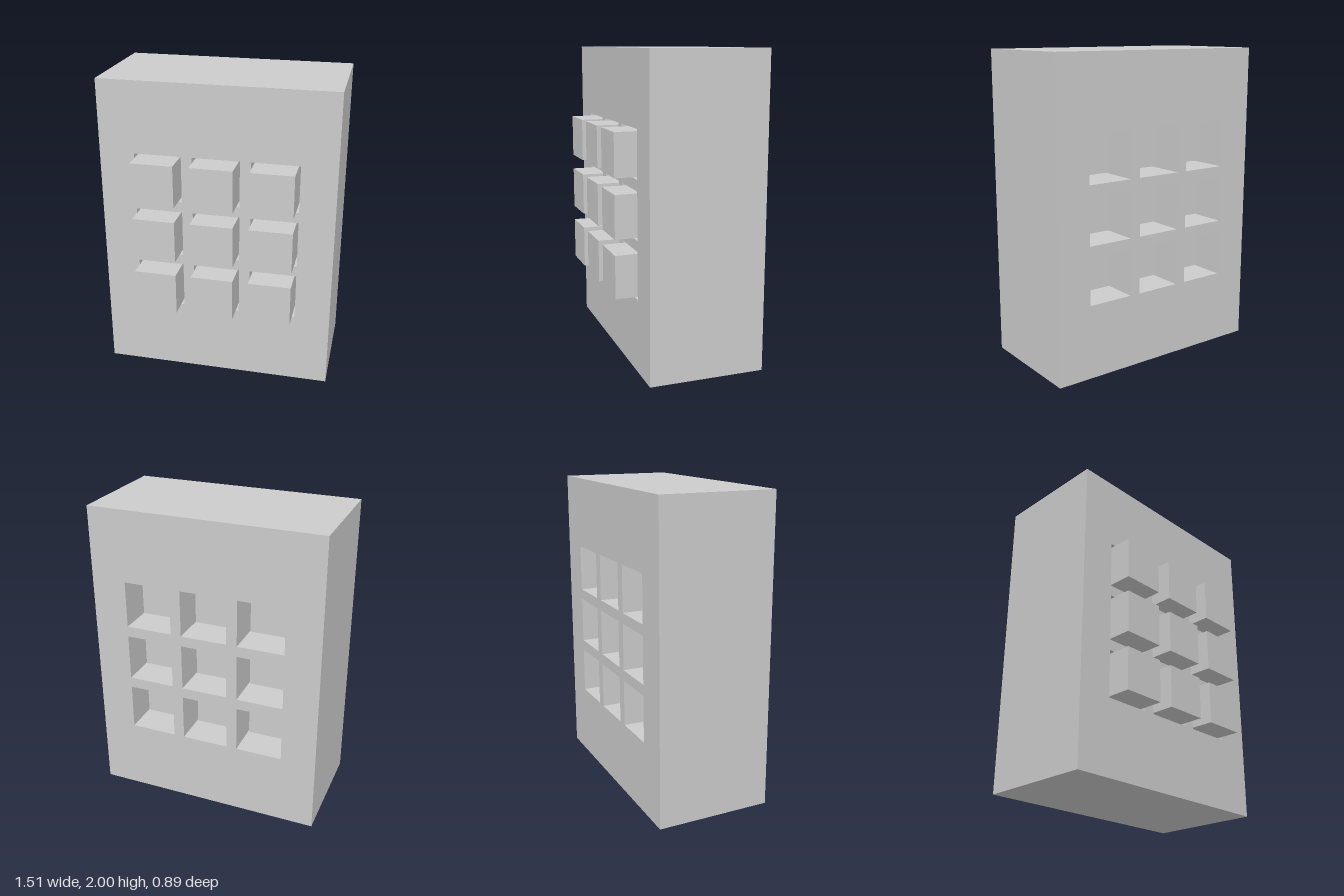
import * as THREE from 'three';

const WIDTH = 1.51, HEIGHT = 2, BACK = -0.443, FACE = 0.305;
const PITCH = 0.375, MID_Y = 1.005;
const HOLE = 0.305, KEY = 0.275;
const KEY_FRONT = 0.443, KEY_BACK = -0.245;

// Rectangle outline centred on (cx, cy)
function trace(path, cx, cy, w, h) {
  path.moveTo(cx - w / 2, cy - h / 2);
  path.lineTo(cx + w / 2, cy - h / 2);
  path.lineTo(cx + w / 2, cy + h / 2);
  path.lineTo(cx - w / 2, cy + h / 2);
  path.closePath();
  return path;
}

export function createModel() {
  const model = new THREE.Group();
  model.name = 'keypad';
  const material = new THREE.MeshStandardMaterial({ color: 0xcccccc });

  const outline = trace(new THREE.Shape(), 0, HEIGHT / 2, WIDTH, HEIGHT);
  const keyDepth = KEY_FRONT - KEY_BACK;
  const keyGeometry = new THREE.BoxGeometry(KEY, KEY, keyDepth);
  const keys = new THREE.Group();
  keys.name = 'keys';

  // 3 x 3 grid of through holes, each holding a loose key
  for (let row = 0; row < 3; row++) {
    for (let col = 0; col < 3; col++) {
      const x = (col - 1) * PITCH;
      const y = MID_Y + (1 - row) * PITCH;
      outline.holes.push(trace(new THREE.Path(), x, y, HOLE, HOLE));
      const key = new THREE.Mesh(keyGeometry, material);
      key.name = `key${row * 3 + col + 1}`;
      key.position.set(x, y, KEY_BACK + keyDepth / 2);
      keys.add(key);
    }
  }

  // Housing block pierced front to back
  const housingGeometry = new THREE.ExtrudeGeometry(outline, { depth: FACE - BACK, bevelEnabled: false });
  const housing = new THREE.Mesh(housingGeometry, material);
  housing.name = 'housing';
  housing.position.z = BACK;

  model.add(housing, keys);
  return model;
}
